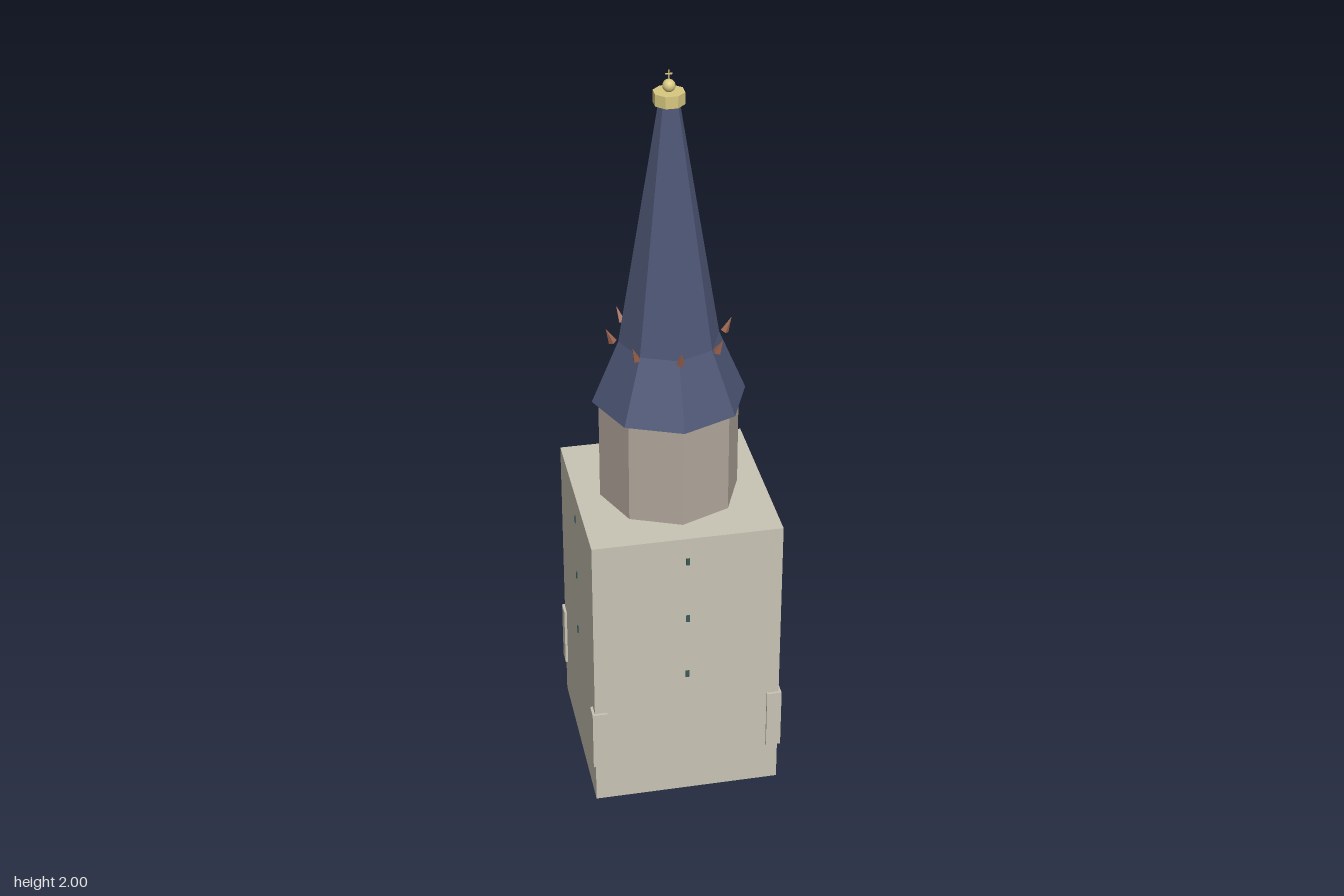
import * as THREE from 'three';

const mat = (color) => new THREE.MeshStandardMaterial({ color, flatShading: true });
const STONE = mat(0xc8c3b4), DRUM = mat(0xb0a59a), SLATE = mat(0x4d5675);
const GOLD = mat(0xd8c880), COPPER = mat(0x9c6450), GLASS = mat(0x3a5a58);

function add(parent, name, geometry, material, x = 0, y = 0, z = 0) {
  const mesh = new THREE.Mesh(geometry, material);
  mesh.name = name;
  mesh.position.set(x, y, z);
  parent.add(mesh);
  return mesh;
}

// Eight-sided frustum standing between two heights
function octagon(parent, name, rBottom, rTop, y0, y1, material, turn = 0) {
  const g = new THREE.CylinderGeometry(rTop, rBottom, y1 - y0, 8);
  add(parent, name, g, material, 0, (y0 + y1) / 2, 0).rotation.y = turn;
}

export function createModel() {
  const tower = new THREE.Group();
  tower.name = 'churchTower';

  // Square shaft
  add(tower, 'shaft', new THREE.BoxGeometry(0.502, 0.82, 0.502), STONE, 0, 0.41, 0);

  // Stone blocks wrapping the four corners
  const block = new THREE.BoxGeometry(0.04, 0.175, 0.04);
  for (const sx of [-1, 1]) for (const sz of [-1, 1])
    add(tower, 'cornerBlock', block, STONE, sx * 0.238, 0.204, sz * 0.238);

  // Three slit windows on each side
  const slit = new THREE.BoxGeometry(0.006, 0.02, 0.01);
  for (let i = 0; i < 4; i++) {
    const side = new THREE.Group();
    side.name = 'windowColumn';
    side.rotation.y = i * Math.PI / 2;
    for (const y of [0.39, 0.57, 0.75]) add(side, 'slitWindow', slit, GLASS, 0, y, 0.251);
    for (const w of side.children) w.rotation.y = Math.PI / 2;
    tower.add(side);
  }

  // Belfry drum and two-stage spire
  octagon(tower, 'belfry', 0.185, 0.185, 0.82, 1.105, DRUM);
  octagon(tower, 'spireSkirt', 0.202, 0.131, 1.105, 1.275, SLATE);
  octagon(tower, 'spire', 0.131, 0.027, 1.275, 1.915, SLATE);

  // Outward-leaning spikes on the spire ridges
  const spike = new THREE.ConeGeometry(0.011, 0.044, 4);
  for (let i = 0; i < 8; i++) {
    const arm = new THREE.Group();
    arm.name = 'ridgeSpike';
    arm.rotation.y = i * Math.PI / 4;
    add(arm, 'spike', spike, COPPER, 0, 1.295, 0.154).rotation.x = 0.42;
    tower.add(arm);
  }

  // Gilded cap, ball and small cross
  octagon(tower, 'cap', 0.04, 0.04, 1.915, 1.946, GOLD, Math.PI / 8);
  const ballMaterial = GOLD.clone();
  ballMaterial.flatShading = false;
  add(tower, 'ball', new THREE.SphereGeometry(0.016, 20, 14), ballMaterial, 0, 1.96, 0);
  add(tower, 'crossPost', new THREE.BoxGeometry(0.003, 0.035, 0.003), GOLD, 0, 1.9825, 0);
  add(tower, 'crossBar', new THREE.BoxGeometry(0.018, 0.003, 0.003), GOLD, 0, 1.99, 0);

  return tower;
}
